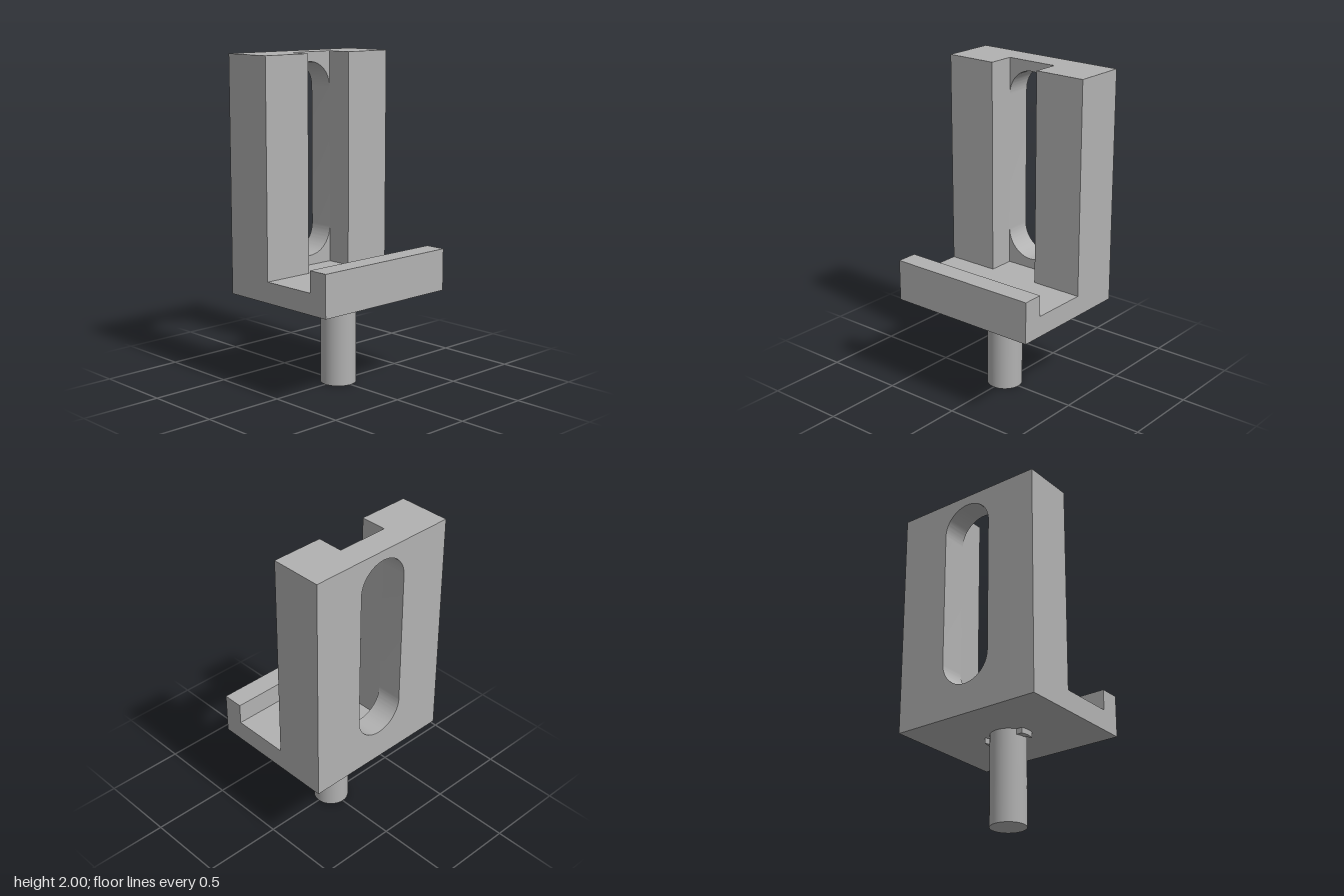
import * as THREE from 'three';
import { toCreasedNormals } from 'three/addons/utils/BufferGeometryUtils.js';

const W = 0.98;                                        // body width
const BOTTOM = 0.562, FLOOR = 0.69, LIP = 0.82, TOP = 2;
const BACK = -0.41, WEB = -0.248, POST = -0.083, FRONT = 0.41;
const SLOT = 0.165;                                    // slot radius, channel half width

function extrude(shape, depth) {
  const geometry = new THREE.ExtrudeGeometry(shape, { depth, bevelEnabled: false, curveSegments: 32 });
  return toCreasedNormals(geometry, 0.6);
}

export function createModel() {
  const model = new THREE.Group();
  model.name = 'slottedBracket';
  const grey = new THREE.MeshStandardMaterial({ color: 0xb2b2b2 });
  grey.name = 'grey';

  const add = (name, geometry, x = 0, y = 0, z = 0) => {
    const mesh = new THREE.Mesh(geometry, grey);
    mesh.name = name;
    mesh.position.set(x, y, z);
    model.add(mesh);
    return mesh;
  };

  // Base with raised front lip: side profile (z, y) swept across x
  const profile = new THREE.Shape([
    [WEB, BOTTOM], [FRONT, BOTTOM], [FRONT, LIP], [0.28, LIP], [0.28, FLOOR], [WEB, FLOOR],
  ].map(([z, y]) => new THREE.Vector2(z, y)));
  add('baseWithLip', extrude(profile, W).rotateY(-Math.PI / 2), W / 2);

  // Back plate with a round-ended slot
  const plate = new THREE.Shape([
    [-W / 2, BOTTOM], [W / 2, BOTTOM], [W / 2, TOP], [-W / 2, TOP],
  ].map(([x, y]) => new THREE.Vector2(x, y)));
  const slot = new THREE.Path();
  slot.absarc(0, 1.775, SLOT, 0, Math.PI);
  slot.absarc(0, 0.915, SLOT, Math.PI, Math.PI * 2);
  slot.closePath();
  plate.holes.push(slot);
  add('slottedBackPlate', extrude(plate, WEB - BACK), 0, 0, BACK);

  // Posts either side of the channel
  const postW = W / 2 - SLOT;
  const post = new THREE.BoxGeometry(postW, TOP - FLOOR, POST - WEB);
  // Locating tabs beside the shaft, with curved outer faces
  const R = 0.145, half = 0.05, a = Math.asin(half / R);
  const tabShape = new THREE.Shape();
  tabShape.moveTo(0.08, -half);
  tabShape.absarc(0, 0, R, -a, a);
  tabShape.lineTo(0.08, half);
  tabShape.closePath();
  const tab = extrude(tabShape, 0.034).rotateX(Math.PI / 2);

  for (const [side, s] of [['left', 1], ['right', -1]]) {
    add(side + 'Post', post, s * (SLOT + postW / 2), (TOP + FLOOR) / 2, (POST + WEB) / 2);
    add(side + 'Tab', tab, 0, BOTTOM, 0).rotation.y = s > 0 ? 0 : Math.PI;
  }

  // Mounting shaft
  add('shaft', new THREE.CylinderGeometry(0.109, 0.109, BOTTOM, 64), 0, BOTTOM / 2, 0);

  return model;
}
